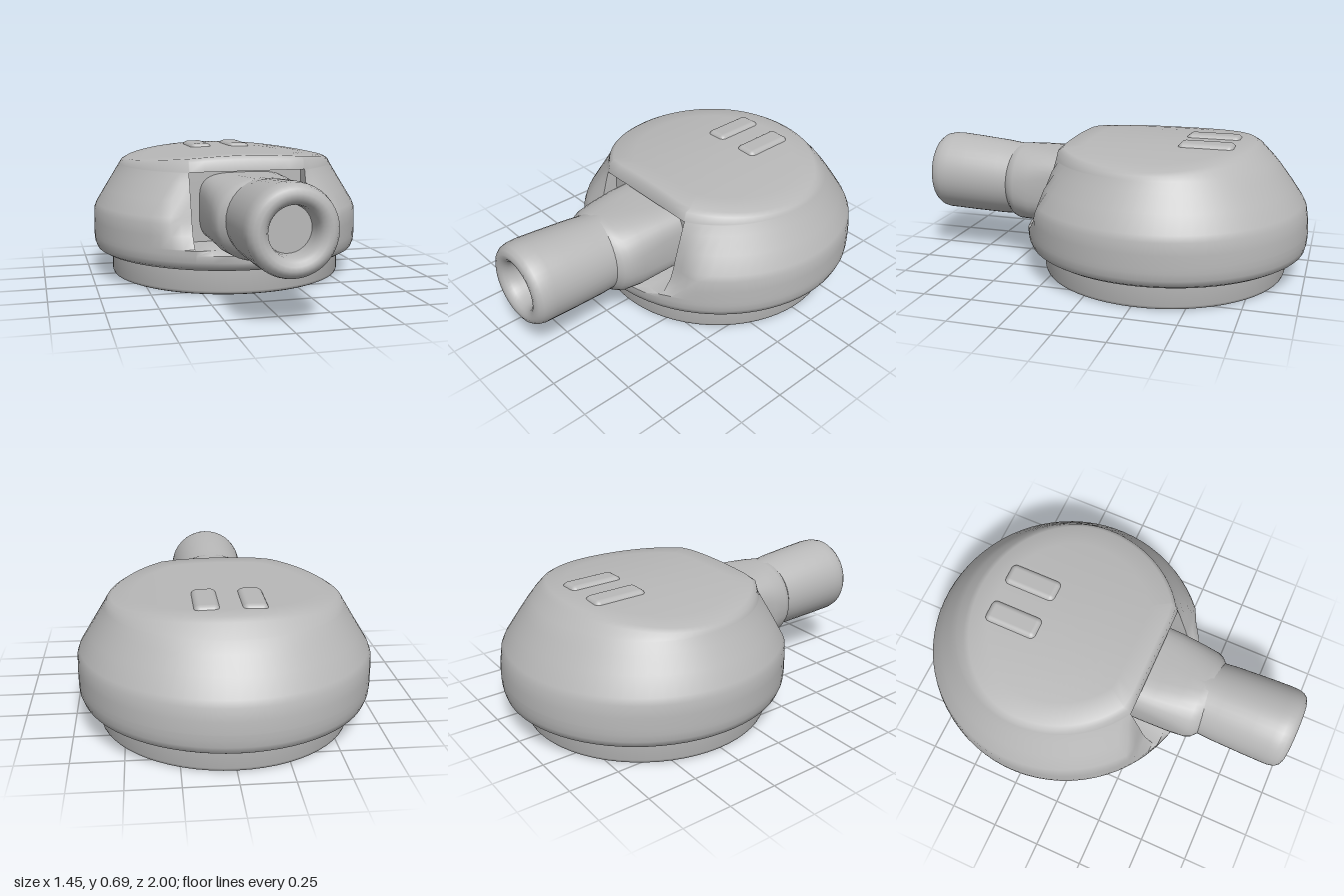
import * as THREE from 'three';
import { toCreasedNormals } from 'three/addons/utils/BufferGeometryUtils.js';
import { RoundedBoxGeometry } from 'three/addons/geometries/RoundedBoxGeometry.js';

// Skin a stack of equal-length closed rings of [x, y, z] points
function loft(rings, crease) {
  const n = rings[0].length, index = [];
  for (let i = 0; i < rings.length - 1; i++) {
    for (let j = 0; j < n; j++) {
      const k = (j + 1) % n, a = i * n + j, b = i * n + k;
      index.push(a, b, b + n, a, b + n, a + n);
    }
  }
  const geo = new THREE.BufferGeometry();
  geo.setAttribute('position', new THREE.Float32BufferAttribute(rings.flat(2), 3));
  geo.setIndex(index);
  return toCreasedNormals(geo, crease);
}

// One horizontal hull ring: an arc round the sides and back, then the front plate
const SLOT = 0.3, CZ = -0.275;
function hullRing({ y, w, back, front, slot }) {
  const ring = [], a0 = Math.asin(SLOT / w), steps = 64;
  const height = typeof y === 'function' ? y : () => y;
  for (let i = 0; i <= steps; i++) {
    const a = a0 + (2 * Math.PI - 2 * a0) * i / steps, c = Math.cos(a);
    const x = w * Math.sin(a);
    const z = CZ + c * (c < 0 ? CZ - back : w);
    ring.push([x, height(x), Math.min(z, front)]);
  }
  for (let i = 0; i <= 8; i++) {
    const x = (i / 4 - 1) * 0.295;
    const z = slot ?? Math.min(CZ + Math.sqrt(w * w - x * x), front);
    ring.push([x, height(x), z]);
  }
  return ring;
}

function hullGeometry() {
  const crown = x => 0.676 - 0.045 * (x / 0.55) ** 2;
  const recess = 0.18;
  const rings = [
    { y: 0.125, w: 0.6, back: -0.88, front: 0.4 },
    { y: 0.135, w: 0.685, back: -0.965, front: 0.42 },
    { y: 0.15, w: 0.71, back: -0.99, front: 0.435 },
    { y: 0.18, w: 0.722, back: -0.997, front: 0.445 },
    { y: 0.215, w: 0.725, back: -1, front: 0.44 },
    { y: 0.238, w: 0.725, back: -1, front: 0.39 },
    { y: 0.242, w: 0.725, back: -1, front: 0.36, slot: recess },
    { y: 0.3, w: 0.725, back: -0.995, front: 0.315, slot: recess },
    { y: 0.36, w: 0.722, back: -0.985, front: 0.295, slot: recess },
    { y: 0.39, w: 0.711, back: -0.97, front: 0.288, slot: recess },
    { y: 0.47, w: 0.662, back: -0.915, front: 0.265, slot: recess },
    { y: 0.55, w: 0.613, back: -0.855, front: 0.242, slot: recess },
    { y: 0.596, w: 0.585, back: -0.815, front: 0.23, slot: recess },
    { y: 0.6, w: 0.583, back: -0.81, front: 0.228 },
    { y: x => 0.618 + 0.04 * (1 - (x / 0.572) ** 2), w: 0.572, back: -0.755, front: 0.22 },
    { y: crown, w: 0.55, back: -0.725, front: 0.2 },
  ].map(hullRing);
  // Crowned roof, closing to the centre
  const edge = rings[rings.length - 1];
  for (const s of [0.8, 0.55, 0.3, 0.1, 0]) {
    rings.push(edge.map(([x, , z]) => [x * s, crown(x * s), CZ + (z - CZ) * s]));
  }
  return loft(rings, 0.9);
}

// Gun mount: a squarish block rounding off towards the barrel
function mantletGeometry() {
  const sections = [ // z, half width, half height, centre y, squareness
    [0.15, 0.24, 0.175, 0.415, 4],
    [0.3, 0.238, 0.18, 0.412, 3.6],
    [0.42, 0.236, 0.195, 0.402, 2.8],
    [0.5, 0.233, 0.2, 0.4, 2.3],
    [0.53, 0.222, 0.198, 0.402, 2.1],
    [0.56, 0.19, 0.18, 0.405, 2],
  ];
  const rings = sections.map(([z, w, h, cy, p]) => {
    const ring = [];
    for (let i = 0; i < 40; i++) {
      const a = i / 40 * Math.PI * 2, c = Math.cos(a), s = Math.sin(a);
      ring.push([
        w * Math.sign(c) * Math.abs(c) ** (2 / p),
        cy + h * Math.sign(s) * Math.abs(s) ** (2 / p), z]);
    }
    return ring;
  });
  return loft(rings, 0.9);
}

// Stubby barrel with a rounded lip and a shallow bore
function barrelGeometry() {
  const profile = [
    [0.19, 0.45], [0.195, 0.56], [0.2, 0.62], [0.206, 0.8], [0.208, 0.9], [0.207, 0.94],
    [0.2, 0.97], [0.185, 0.99], [0.165, 1], [0.145, 0.997], [0.127, 0.985],
    [0.115, 0.965], [0.11, 0.93], [0.108, 0.88], [0, 0.88],
  ].map(p => new THREE.Vector2(...p));
  const geo = new THREE.LatheGeometry(profile, 40);
  geo.rotateX(Math.PI / 2);
  // Raise the axis slightly towards the muzzle
  const pos = geo.attributes.position;
  for (let i = 0; i < pos.count; i++) {
    const t = THREE.MathUtils.clamp((pos.getZ(i) - 0.56) / 0.34, 0, 1);
    pos.setY(i, pos.getY(i) + 0.408 + 0.02 * t);
  }
  geo.deleteAttribute('normal');
  geo.deleteAttribute('uv');
  return toCreasedNormals(geo, 0.9);
}

// Turning ring under the hull
function ringGeometry() {
  const profile = [[0, 0], [0.612, 0], [0.625, 0.006], [0.63, 0.02], [0.628, 0.15]]
    .map(p => new THREE.Vector2(...p));
  const geo = new THREE.LatheGeometry(profile, 64);
  geo.deleteAttribute('normal');
  geo.deleteAttribute('uv');
  return toCreasedNormals(geo, 0.8).translate(0, 0, -0.265);
}

export function createModel() {
  const model = new THREE.Group();
  model.name = 'turret';
  const grey = new THREE.MeshStandardMaterial({ color: 0xb8b8b8 });
  grey.name = 'plain grey';
  const add = (name, geo) => {
    const mesh = new THREE.Mesh(geo, grey);
    mesh.name = name;
    model.add(mesh);
    return mesh;
  };

  add('turretRing', ringGeometry());
  add('hull', hullGeometry());
  add('mantlet', mantletGeometry());
  add('barrel', barrelGeometry());

  // Pair of rounded roof hatches
  for (const side of [1, -1]) {
    const hatch = add(side > 0 ? 'leftHatch' : 'rightHatch',
      new RoundedBoxGeometry(0.122, 0.07, 0.28, 4, 0.03));
    hatch.position.set(side * 0.11, 0.656, -0.495);
    hatch.rotation.z = -side * 0.02;
  }
  return model;
}
